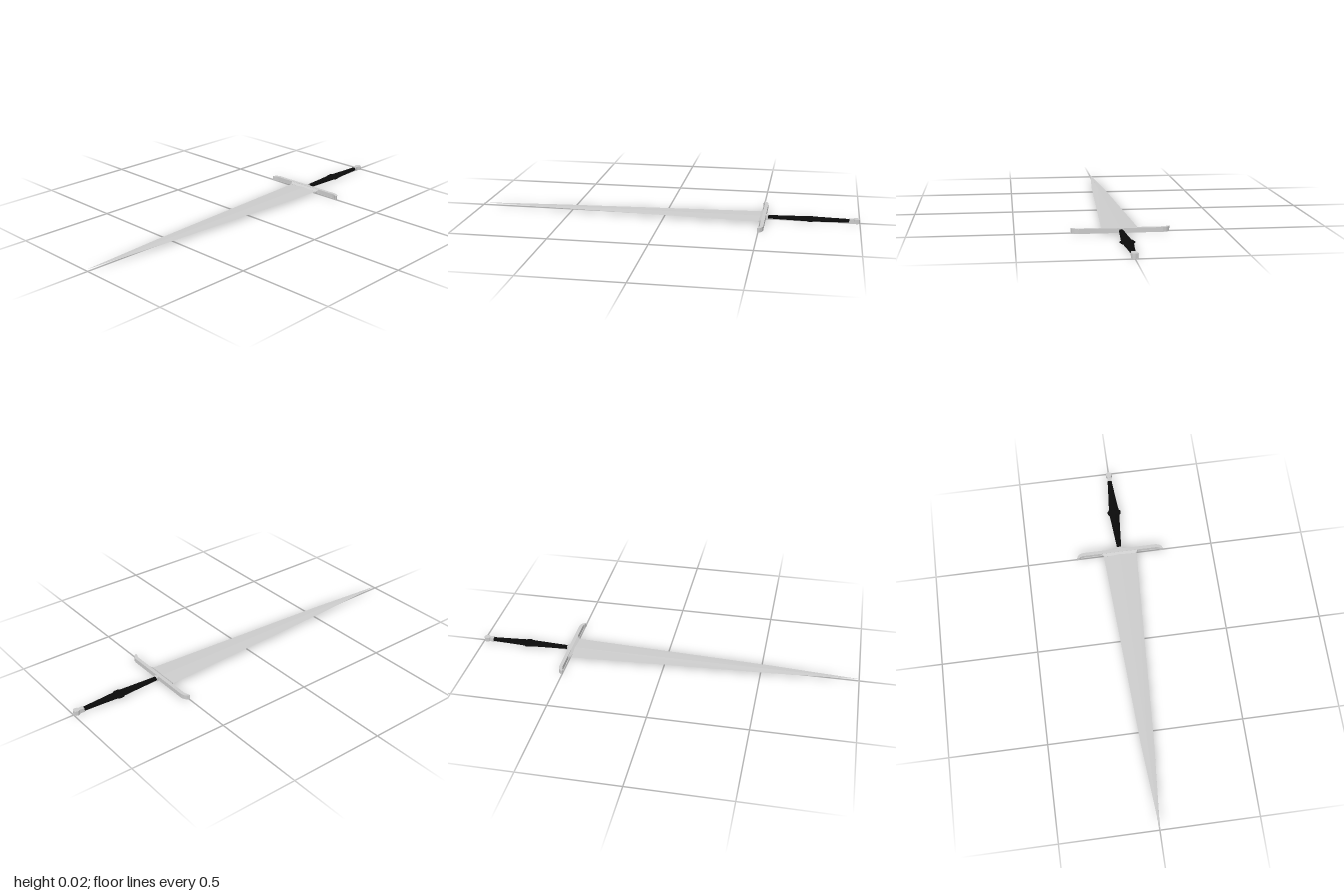
import * as THREE from 'three';

const MID = 0.0115; // centre height and half thickness of the hilt
const steel = new THREE.MeshStandardMaterial({ color: 0xcccccc, flatShading: true });
const black = new THREE.MeshStandardMaterial({ color: 0x0a0a0a, flatShading: true });

// Tapered bar along z; each section is [z, half width, half height]
function loft(name, sections, sides, material, boxy = false) {
  const steps = sections.length - 1;
  const r = boxy ? Math.SQRT2 : 1;
  const geo = new THREE.CylinderGeometry(r, r, 1, sides, steps, false, boxy ? Math.PI / 4 : 0);
  geo.rotateX(Math.PI / 2);
  const p = geo.attributes.position;
  for (let i = 0; i < p.count; i++) {
    const [z, w, h] = sections[Math.round((p.getZ(i) + 0.5) * steps)];
    p.setXYZ(i, p.getX(i) * w, MID + p.getY(i) * h, z);
  }
  geo.computeVertexNormals();
  const mesh = new THREE.Mesh(geo, material);
  mesh.name = name;
  return mesh;
}

// Flat plate lying in the ground plane, from an outline of [x, z]
function plate(name, outline, material) {
  const shape = new THREE.Shape(outline.map(([x, z]) => new THREE.Vector2(x, -z)));
  const geo = new THREE.ExtrudeGeometry(shape, { depth: 2 * MID, bevelEnabled: false });
  geo.rotateX(-Math.PI / 2);
  const mesh = new THREE.Mesh(geo, material);
  mesh.name = name;
  return mesh;
}

export function createModel() {
  const dagger = new THREE.Group();
  dagger.name = 'dagger';

  // Diamond-section blade with a longer taper to the point
  dagger.add(loft('blade', [
    [-0.51, 0.09, 0.004], [0.56, 0.034, 0.002], [1, 0.0005, 0.0004],
  ], 4, steel));

  // Collar sloping from the guard to the blade
  dagger.add(loft('bladeCollar', [[-0.508, 0.1, MID], [-0.492, 0.088, 0.002]], 4, steel, true));

  // Crossguard with ends curling towards the point
  const half = [
    [0.2, -0.524], [0.218, -0.519], [0.229, -0.509], [0.235, -0.496],
    [0.222, -0.497], [0.213, -0.503], [0.2, -0.506],
  ];
  const mirrored = half.map(([x, z]) => [-x, z]).reverse();
  dagger.add(plate('crossguard', [...half, ...mirrored], steel));

  // Grip swelling to the middle, with its central ring
  dagger.add(loft('gripFerrule', [[-0.536, 0.013, 0.01], [-0.52, 0.013, 0.01]], 4, steel, true));
  dagger.add(loft('grip', [
    [-0.952, 0.011, 0.0095], [-0.85, 0.019, 0.0105], [-0.765, 0.027, 0.011],
    [-0.735, 0.027, 0.011], [-0.65, 0.02, 0.0105], [-0.53, 0.011, 0.0095],
  ], 8, black));
  dagger.add(loft('gripRing', [
    [-0.768, 0.027, 0.0105], [-0.757, 0.036, MID], [-0.743, 0.036, MID], [-0.732, 0.027, 0.0105],
  ], 8, black));

  // Pommel: short neck and an eight-sided disc
  dagger.add(loft('pommelNeck', [[-0.975, 0.008, 0.01], [-0.946, 0.012, 0.01]], 4, steel, true));
  const pommel = new THREE.Mesh(new THREE.CylinderGeometry(0.017, 0.017, 2 * MID, 8), steel);
  pommel.name = 'pommel';
  pommel.position.set(0, MID, -0.983);
  dagger.add(pommel);

  return dagger;
}
